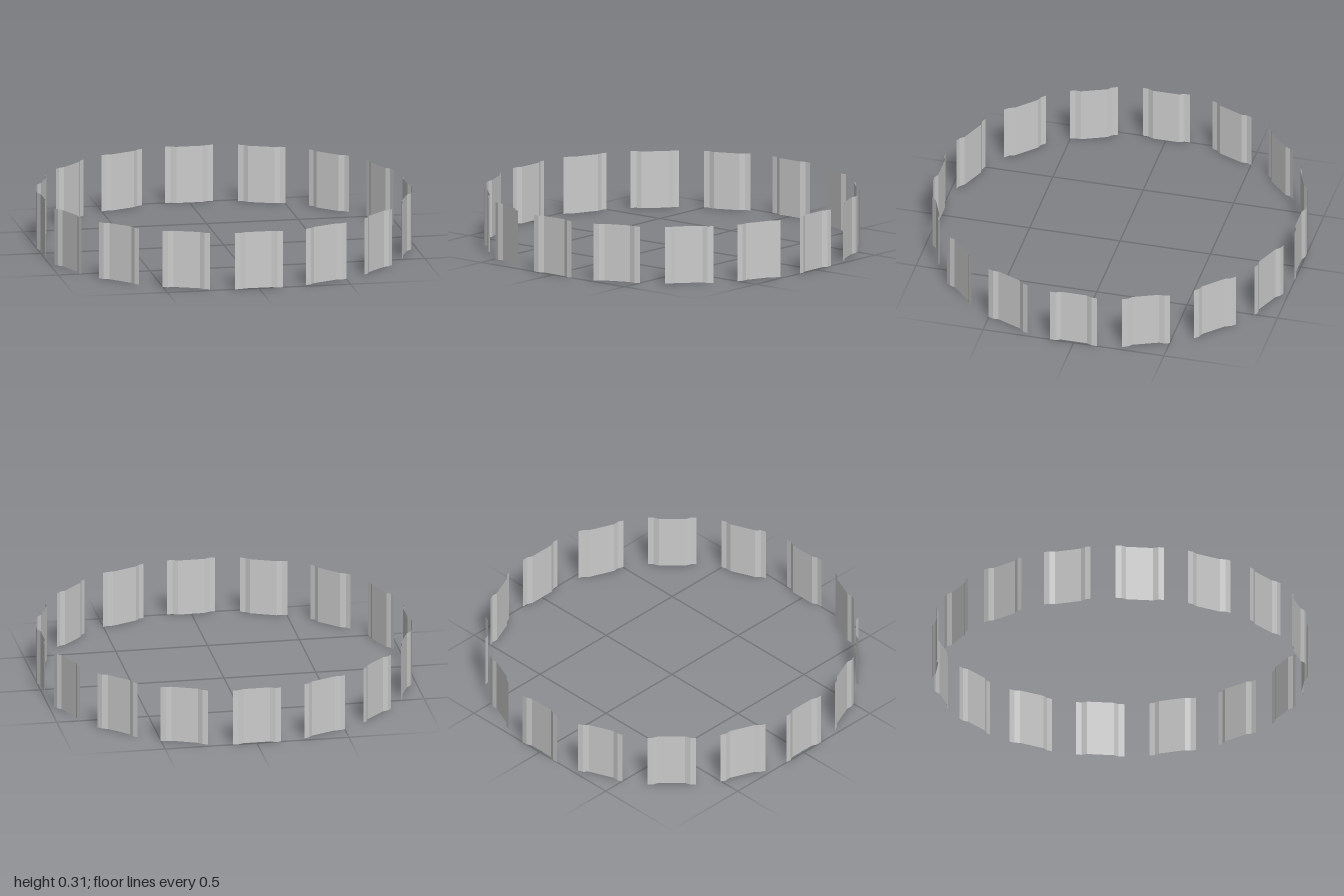
import * as THREE from 'three';

const COUNT = 16;
const HEIGHT = 0.31;

// Panel cross-section (x, z): flat middle set inward, with a stepped-out lip on each side
const PROFILE = [
  [-0.13, 1], [-0.1, 1], [-0.072, 0.987],
  [0.072, 0.987], [0.1, 1], [0.13, 1],
];

// Thin open sheet: the cross-section swept straight up
function panelGeometry() {
  const positions = [];
  for (let i = 0; i < PROFILE.length - 1; i++) {
    const [x0, z0] = PROFILE[i];
    const [x1, z1] = PROFILE[i + 1];
    positions.push(
      x0, 0, z0, x1, 0, z1, x1, HEIGHT, z1,
      x0, 0, z0, x1, HEIGHT, z1, x0, HEIGHT, z0,
    );
  }
  const geometry = new THREE.BufferGeometry();
  geometry.setAttribute('position', new THREE.Float32BufferAttribute(positions, 3));
  geometry.computeVertexNormals();
  return geometry;
}

export function createModel() {
  const group = new THREE.Group();
  group.name = 'panelRing';
  const material = new THREE.MeshStandardMaterial({
    color: 0xcccccc, flatShading: true, side: THREE.DoubleSide,
  });
  const geometry = panelGeometry();

  // Evenly spaced panels facing outward around the ring
  for (let i = 0; i < COUNT; i++) {
    const panel = new THREE.Mesh(geometry, material);
    panel.name = `panel${i + 1}`;
    panel.rotation.y = (i / COUNT) * Math.PI * 2;
    group.add(panel);
  }
  return group;
}
